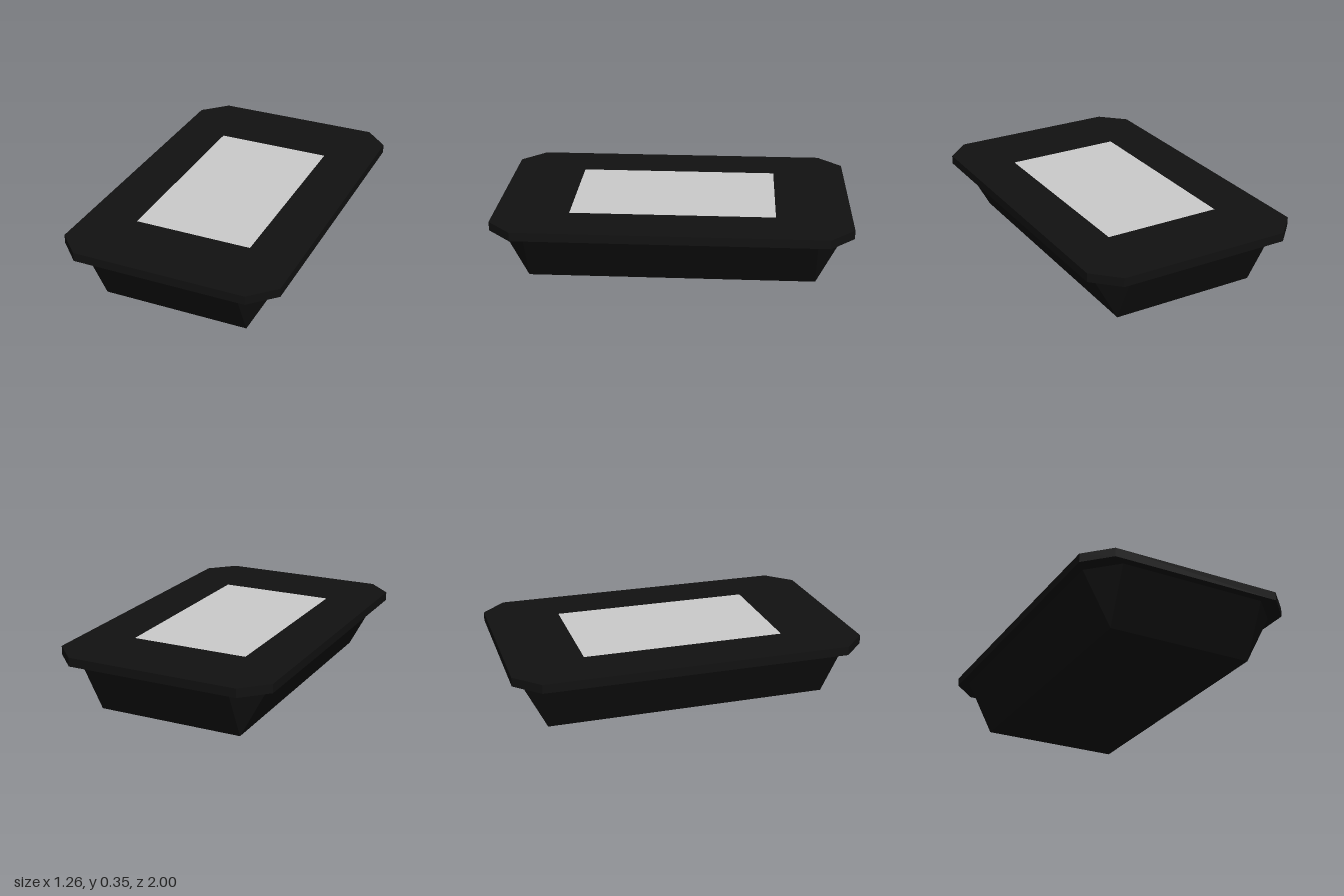
import * as THREE from 'three';

// Corner points of a rectangle with its corners cut off, counter-clockwise
function cutRect(hx, hz, cut) {
  return [
    [hx, -hz + cut], [hx, hz - cut], [hx - cut, hz], [-hx + cut, hz],
    [-hx, hz - cut], [-hx, -hz + cut], [-hx + cut, -hz], [hx - cut, -hz],
  ].map(([x, z]) => new THREE.Vector2(x, z));
}

// Flat-shaded walls between two loops, plus a floor on the lower one
function taperedTub(lower, yLow, upper, yHigh) {
  const pos = [];
  const tri = (a, b, c) => {
    const area = new THREE.Triangle(a, b, c).getArea();
    if (area > 1e-6) for (const p of [a, b, c]) pos.push(p.x, p.y, p.z);
  };
  const lo = lower.map((p) => new THREE.Vector3(p.x, yLow, p.y));
  const hi = upper.map((p) => new THREE.Vector3(p.x, yHigh, p.y));
  const n = lo.length;
  for (let i = 0; i < n; i++) {
    const j = (i + 1) % n;
    tri(lo[i], hi[i], hi[j]);
    tri(lo[i], hi[j], lo[j]);
    if (i > 0 && i < n - 1) tri(lo[0], lo[i], lo[j]);
  }
  const geo = new THREE.BufferGeometry();
  geo.setAttribute('position', new THREE.Float32BufferAttribute(pos, 3));
  geo.computeVertexNormals();
  return geo;
}

export function createModel() {
  const group = new THREE.Group();
  const black = new THREE.MeshStandardMaterial({ color: 0x111111, flatShading: true });
  const grey = new THREE.MeshStandardMaterial({ color: 0xcccccc });
  const rimBottom = 0.3, rimHeight = 0.05;
  const panelX = 0.34, panelZ = 0.577;

  const add = (name, geo, mat) => {
    const mesh = new THREE.Mesh(geo, mat);
    mesh.name = name;
    group.add(mesh);
    return mesh;
  };

  // Tub: rectangular floor flaring to a cut-cornered top
  add('body', taperedTub(cutRect(0.42, 0.805, 0), 0, cutRect(0.58, 0.955, 0.155), rimBottom), black);

  // Overhanging rim plate with an opening for the panel
  const outline = new THREE.Shape(cutRect(0.63, 1, 0.137));
  outline.holes.push(new THREE.Path(cutRect(panelX, panelZ, 0).filter((p, i) => i % 2 === 0)));
  const rimGeo = new THREE.ExtrudeGeometry(outline, { depth: rimHeight, bevelEnabled: false });
  rimGeo.rotateX(-Math.PI / 2);
  add('rim', rimGeo, black).position.y = rimBottom;

  // Panel set flush into the rim
  const panel = add('panel', new THREE.BoxGeometry(panelX * 2, rimHeight, panelZ * 2), grey);
  panel.position.y = rimBottom + rimHeight / 2;

  return group;
}
